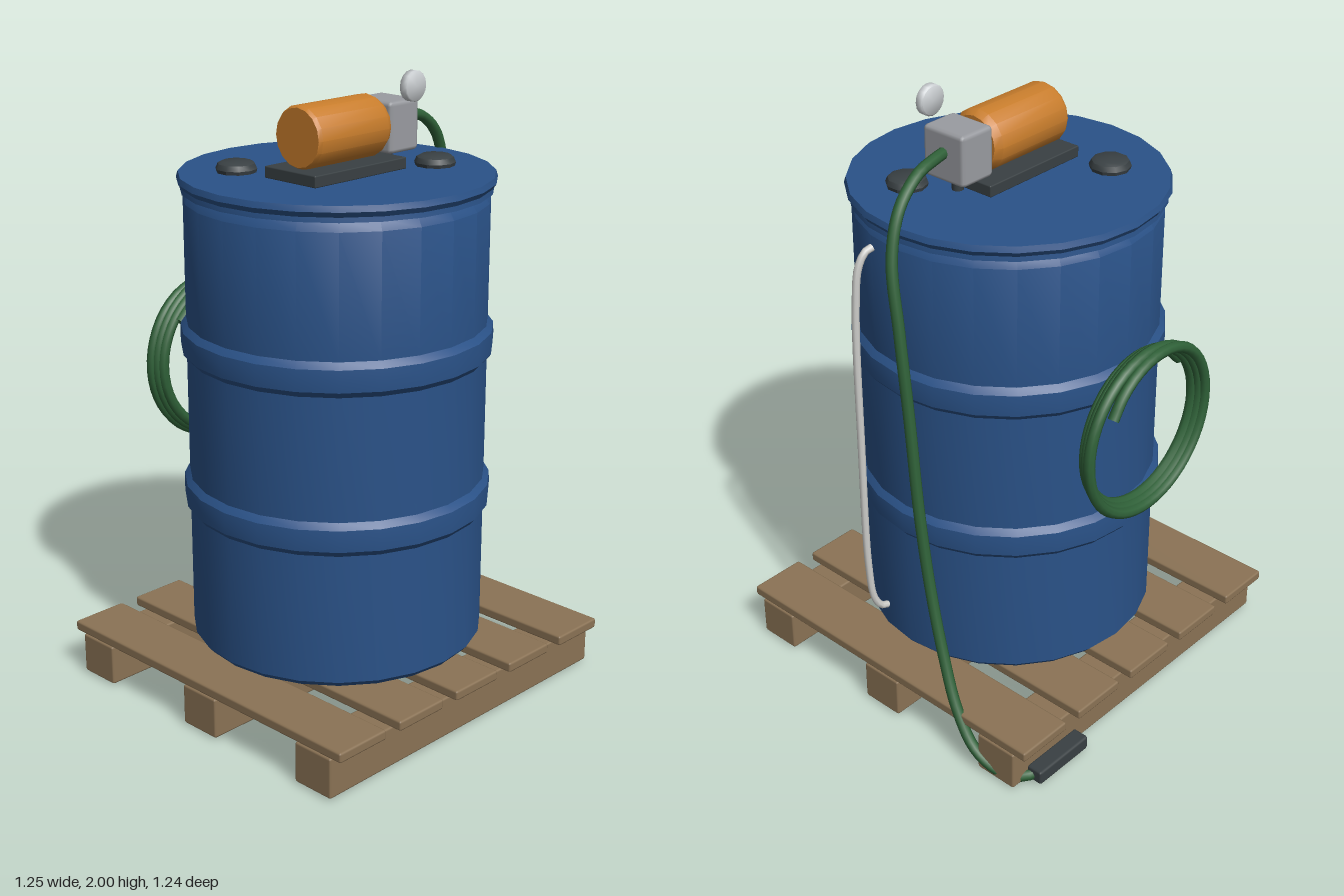
import * as THREE from 'three';
import { toCreasedNormals } from 'three/addons/utils/BufferGeometryUtils.js';
import { RoundedBoxGeometry } from 'three/addons/geometries/RoundedBoxGeometry.js';

const CX = -0.008, CZ = 0.005; // drum and pallet axis

function material(name, color) {
  const m = new THREE.MeshStandardMaterial({ color });
  m.name = name;
  return m;
}

export function createModel() {
  const root = new THREE.Group();
  root.name = 'drumPump';
  const wood = material('wood', 0x8b7355);
  const blue = material('drumBlue', 0x2a5288);
  const dark = material('darkGrey', 0x394043);
  const orange = material('motorOrange', 0xc87d2c);
  const grey = material('castGrey', 0x9a9ca1);
  const pale = material('gaugeSilver', 0xc9cdd0);
  const clear = material('tubeWhite', 0xcfcfcc);
  const green = material('hoseGreen', 0x2f6138);

  function add(parent, name, geometry, mat, x = 0, y = 0, z = 0) {
    const mesh = new THREE.Mesh(geometry, mat);
    mesh.name = name;
    mesh.position.set(x, y, z);
    parent.add(mesh);
    return mesh;
  }
  // Box given by its minimum and maximum corners, with slightly eased edges
  function box(parent, name, mat, a, b, bevel = 0.007) {
    const s = a.map((v, i) => b[i] - v);
    const c = a.map((v, i) => (b[i] + v) / 2);
    return add(parent, name, new RoundedBoxGeometry(...s, 1, bevel), mat, ...c);
  }
  // Turned part from [radius, height] pairs, listed bottom to top
  function lathe(profile, sides, crease = 0.6) {
    const pts = profile.map(([r, y]) => new THREE.Vector2(r, y));
    return toCreasedNormals(new THREE.LatheGeometry(pts, sides), crease);
  }
  // Round tube through points, closed with end discs
  function hose(parent, name, mat, points, radius, steps) {
    const curve = new THREE.CatmullRomCurve3(points.map(p => new THREE.Vector3(...p)));
    const group = new THREE.Group();
    group.name = name;
    parent.add(group);
    add(group, name + 'Body', new THREE.TubeGeometry(curve, steps, radius, 8), mat);
    for (const [t, dir] of [[0, -1], [1, 1]]) {
      const cap = add(group, name + 'End', new THREE.CircleGeometry(radius, 8), mat);
      const p = curve.getPoint(t);
      cap.position.copy(p);
      cap.lookAt(p.clone().addScaledVector(curve.getTangent(t), dir));
    }
  }

  // Pallet: five deck boards on three bearers
  const pallet = new THREE.Group();
  pallet.name = 'pallet';
  root.add(pallet);
  for (let i = -2; i <= 2; i++) {
    const x = CX + i * 0.2575;
    box(pallet, 'deckBoard', wood, [x - 0.098, 0.143, -0.613], [x + 0.098, 0.176, 0.617]);
  }
  for (const z of [-0.495, 0.005, 0.505]) {
    box(pallet, 'bearer', wood, [-0.624, 0.01, z - 0.074], [0.608, 0.144, z + 0.074]);
  }

  // Drum with two rolling hoops and a lid rim
  const ribs = [0.675, 1.18].flatMap(y => [
    [0.475, y - 0.055], [0.492, y - 0.035], [0.494, y], [0.492, y + 0.035], [0.475, y + 0.055],
  ]);
  const drumProfile = [
    [0, 0.176], [0.458, 0.176], [0.475, 0.195], ...ribs, [0.475, 1.62], [0.455, 1.65],
    [0.484, 1.65], [0.482, 1.665], [0.494, 1.682], [0.488, 1.7], [0, 1.7],
  ];
  add(root, 'drum', lathe(drumProfile, 24), blue, CX, 0, CZ);

  // Bung caps
  for (const [x, z] of [[-0.24, -0.197], [0.258, 0.17]]) {
    add(root, 'bungCap', lathe([[0.062, 0], [0.065, 0.012], [0.058, 0.028], [0.045, 0.035], [0, 0.037]], 10),
      dark, x, 1.699, z);
  }

  // Pump: mounting plate, motor, head, feed stub and gauge
  const pump = new THREE.Group();
  pump.name = 'pump';
  root.add(pump);
  box(pump, 'mountingPlate', dark, [-0.24, 1.699, -0.073], [0.157, 1.736, 0.143], 0.004);
  const motor = add(pump, 'motor',
    lathe([[0, -0.207], [0.09, -0.207], [0.097, -0.195], [0.097, 0.088], [0.083, 0.112], [0, 0.112]], 16),
    orange, 0, 1.83, 0.035);
  motor.rotation.z = -Math.PI / 2;
  box(pump, 'pumpHead', grey, [0.11, 1.744, -0.043], [0.24, 1.905, 0.118], 0.014);
  add(pump, 'feedStub', new THREE.CylinderGeometry(0.018, 0.018, 0.06, 10), dark, 0.177, 1.725, 0.04);
  const gauge = add(pump, 'gauge',
    lathe([[0, -0.015], [0.044, -0.014], [0.048, -0.011], [0.048, 0.01], [0.044, 0.014], [0, 0.015]], 16, 1),
    pale, 0.177, 1.952, 0.147);
  gauge.rotation.x = Math.PI / 2;

  // Delivery hose from the pump head down to the strainer
  hose(root, 'deliveryHose', green, [
    [0.22, 1.837, 0.04], [0.29, 1.835, 0.025], [0.37, 1.82, 0.012], [0.46, 1.75, -0.003],
    [0.515, 1.62, -0.022], [0.537, 1.4, -0.065], [0.545, 1.13, -0.102], [0.553, 0.81, -0.14],
    [0.56, 0.546, -0.187], [0.576, 0.334, -0.252], [0.597, 0.18, -0.325], [0.605, 0.07, -0.41],
    [0.59, 0.026, -0.5], [0.555, 0.024, -0.565], [0.52, 0.032, -0.59],
  ], 0.018, 90);
  box(root, 'strainer', dark, [0.313, 0.01, -0.623], [0.54, 0.059, -0.565], 0.008);

  // Sight tube on the drum wall
  hose(root, 'sightTube', clear, [
    [0.455, 1.585, 0.122], [0.478, 1.578, 0.126], [0.503, 1.535, 0.132], [0.518, 1.4, 0.136],
    [0.523, 0.93, 0.136], [0.518, 0.46, 0.136], [0.503, 0.325, 0.132], [0.478, 0.282, 0.126],
    [0.455, 0.275, 0.122],
  ], 0.012, 60);

  // Spare hose coiled flat against the back, its loose end tucked inward
  const coil = [];
  const turns = 3.3, count = 66;
  for (let i = 0; i <= count; i++) {
    const t = i / count;
    const angle = 0.6 + t * turns * Math.PI * 2;
    const tuck = Math.max(0, 1 - t * 12);
    const r = 0.282 - 0.034 * t - 0.045 * tuck;
    coil.push([-0.035 + r * Math.cos(angle), 1.005 + r * Math.sin(angle), -0.55 + 0.055 * t - 0.008 * tuck]);
  }
  hose(root, 'spareHoseCoil', green, coil, 0.018, 160);

  return root;
}
